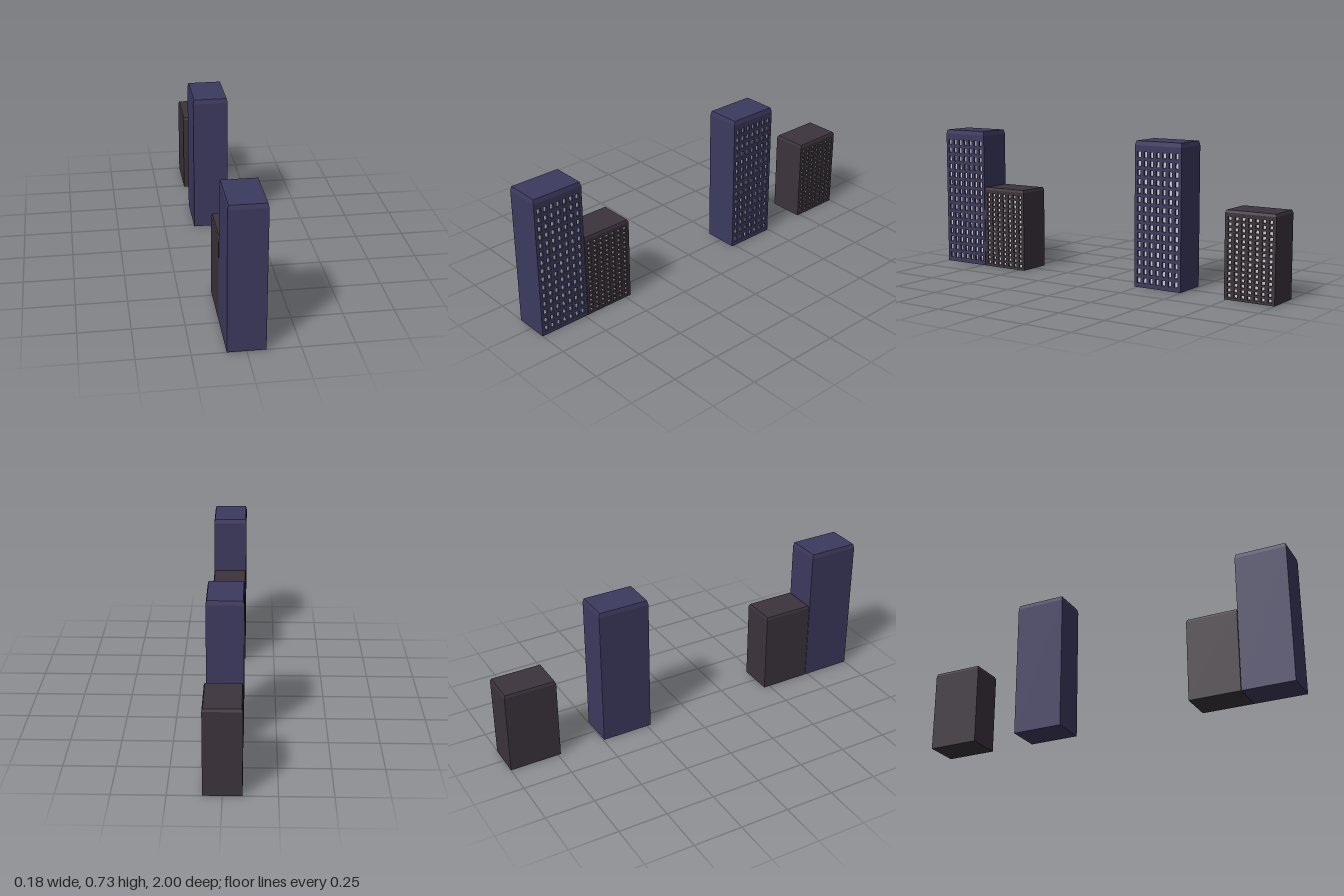
import * as THREE from 'three';

const W = 0.18, D = 0.265, H = 0.73; // tower width (x), depth (z), height (y)
const CAP = 0.022, INSET = 0.005; // sloped roof edge
const RECESS = 0.01, COLS = 7, ROWS = 15;

// Wall panel with a grid of window holes, facing +x
function facadeGeometry(wallH) {
  const rect = (s, x, y, w, h) => {
    s.moveTo(x - w / 2, y - h / 2);
    s.lineTo(x + w / 2, y - h / 2);
    s.lineTo(x + w / 2, y + h / 2);
    s.lineTo(x - w / 2, y + h / 2);
    s.closePath();
    return s;
  };
  const wall = rect(new THREE.Shape(), 0, wallH / 2, D, wallH);
  for (let c = 0; c < COLS; c++) {
    for (let r = 0; r < ROWS; r++) {
      const x = (c - (COLS - 1) / 2) * 0.0357;
      wall.holes.push(rect(new THREE.Path(), x, 0.036 + r * 0.0448, 0.018, 0.027));
    }
  }
  return new THREE.ExtrudeGeometry(wall, { depth: RECESS, bevelEnabled: false })
    .rotateY(Math.PI / 2)
    .translate(W / 2 - RECESS, 0, 0);
}

// Box whose top is drawn in on all four sides
function roofGeometry() {
  const g = new THREE.BoxGeometry(W, CAP, D);
  const p = g.attributes.position;
  for (let i = 0; i < p.count; i++) {
    if (p.getY(i) > 0) {
      p.setX(i, p.getX(i) - Math.sign(p.getX(i)) * INSET);
      p.setZ(i, p.getZ(i) - Math.sign(p.getZ(i)) * INSET);
    }
  }
  g.computeVertexNormals();
  return g.translate(0, H - CAP / 2, 0);
}

export function createModel() {
  const model = new THREE.Group();
  model.name = 'cityBlocks';

  const wallH = H - CAP;
  const geometries = {
    core: new THREE.BoxGeometry(W - RECESS, wallH, D).translate(-RECESS / 2, wallH / 2, 0),
    facade: facadeGeometry(wallH),
    roof: roofGeometry(),
    windowPanes: new THREE.PlaneGeometry(D - 0.02, wallH - 0.02)
      .rotateY(Math.PI / 2)
      .translate(W / 2 - RECESS + 0.001, wallH / 2, 0),
  };
  const blue = new THREE.MeshStandardMaterial({ color: 0x3d3a5f });
  const brown = new THREE.MeshStandardMaterial({ color: 0x3c343c });
  const pane = new THREE.MeshStandardMaterial({ color: 0xcccccc });

  function addBuilding(name, z, height, material) {
    const building = new THREE.Group();
    building.name = name;
    for (const [part, geometry] of Object.entries(geometries)) {
      const mesh = new THREE.Mesh(geometry, part === 'windowPanes' ? pane : material);
      mesh.name = part;
      building.add(mesh);
    }
    building.scale.y = height / H; // low blocks are squashed towers
    building.position.z = z;
    model.add(building);
  }

  addBuilding('frontTower', 0.8675, H, blue);
  addBuilding('frontLowBlock', 0.6, 0.43, brown);
  addBuilding('backTower', -0.363, H, blue);
  addBuilding('backLowBlock', -0.8675, 0.43, brown);
  return model;
}
